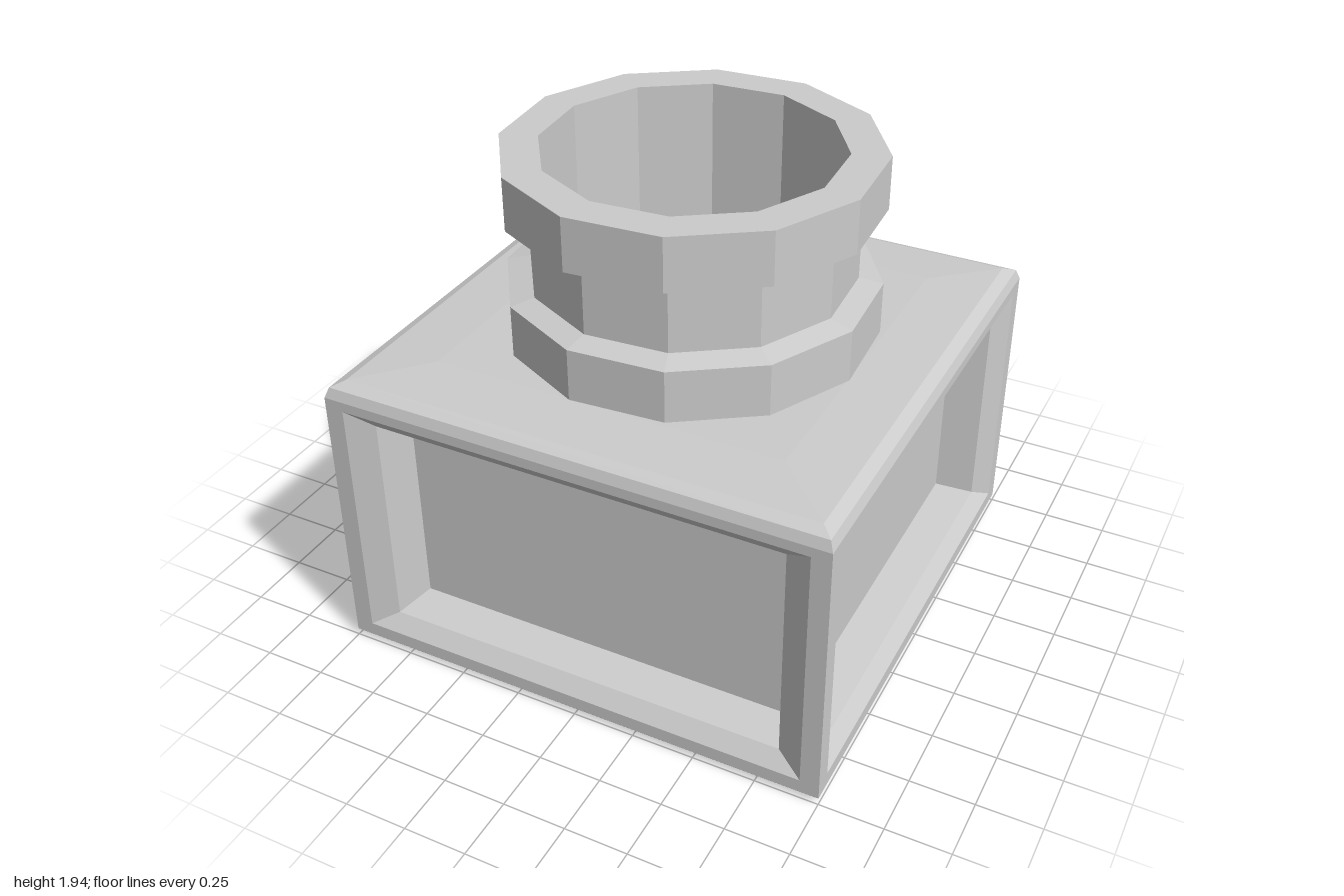
import * as THREE from 'three';

const material = new THREE.MeshStandardMaterial({ color: 0xcccccc, flatShading: true });

function addMesh(parent, name, geometry) {
  const mesh = new THREE.Mesh(geometry, material);
  mesh.name = name;
  parent.add(mesh);
  return mesh;
}

// Revolve a list of [radius, y] with a low number of sides
function turned(profile, sides, start, scale = 1) {
  const points = profile.map(([r, y]) => new THREE.Vector2(r * scale, y));
  return new THREE.LatheGeometry(points, sides, start, Math.PI * 2);
}

// Join nested rectangles [halfWidth, bottom, top, z] and close the last one
function nestedPanel(rects) {
  const positions = [];
  const corners = ([w, b, t, z]) => [[-w, b, z], [w, b, z], [w, t, z], [-w, t, z]];
  const quad = (a, b, c, d) => positions.push(...a, ...b, ...c, ...a, ...c, ...d);
  for (let i = 0; i < rects.length - 1; i++) {
    const outer = corners(rects[i]);
    const inner = corners(rects[i + 1]);
    for (let k = 0; k < 4; k++) {
      const n = (k + 1) % 4;
      quad(outer[k], outer[n], inner[n], inner[k]);
    }
  }
  quad(...corners(rects[rects.length - 1]));
  const geometry = new THREE.BufferGeometry();
  geometry.setAttribute('position', new THREE.Float32BufferAttribute(positions, 3));
  geometry.computeVertexNormals();
  return geometry;
}

export function createModel() {
  const group = new THREE.Group();
  group.name = 'squareBottle';

  const body = new THREE.Group();
  body.name = 'body';
  group.add(body);

  // Bevelled square base and shoulder: four-sided revolves
  const base = [[0, 0], [0.93, 0], [0.985, 0.012], [1, 0.03]];
  const shoulder = [[1, 1.14], [0.985, 1.18], [0.94, 1.2], [0.7, 1.212], [0, 1.212]];
  addMesh(body, 'base', turned(base, 4, Math.PI / 4, Math.SQRT2));
  addMesh(body, 'shoulder', turned(shoulder, 4, Math.PI / 4, Math.SQRT2));

  // Four identical walls, each with a stepped recessed panel
  const wall = nestedPanel([
    [1, 0.03, 1.14, 1],
    [0.925, 0.085, 1.1, 1],
    [0.82, 0.147, 1.038, 0.95],
    [0.775, 0.172, 1.013, 0.8],
  ]);
  ['frontWall', 'leftWall', 'backWall', 'rightWall'].forEach((name, i) => {
    addMesh(body, name, wall).rotation.y = i * Math.PI / 2;
  });

  // Twelve-sided neck with a collar, a waist, a lip and an open mouth
  const neck = [
    [0.718, 1.19], [0.718, 1.42], [0.625, 1.44], [0.625, 1.71],
    [0.718, 1.73], [0.718, 1.94], [0.571, 1.94], [0.571, 1.2],
  ];
  addMesh(group, 'neck', turned(neck, 12, THREE.MathUtils.degToRad(18.8)));

  return group;
}
